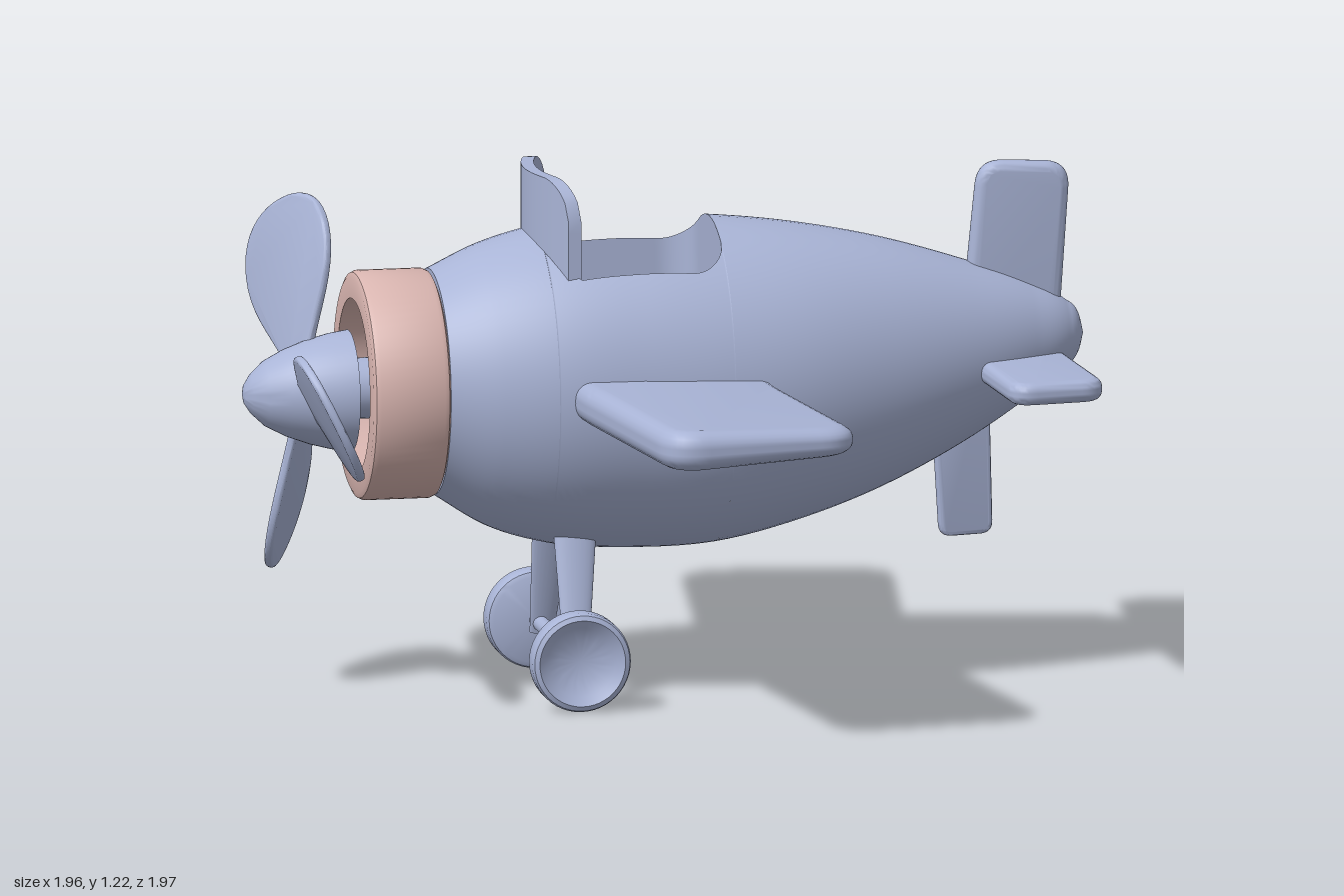
import * as THREE from 'three';
import { toCreasedNormals } from 'three/addons/utils/BufferGeometryUtils.js';
import { ParametricGeometry } from 'three/addons/geometries/ParametricGeometry.js';

const BLUE = new THREE.MeshStandardMaterial({ color: 0xa9b4d6 });
const BLUE_OPEN = new THREE.MeshStandardMaterial({ color: 0xa9b4d6, side: THREE.DoubleSide });
const PINK = new THREE.MeshStandardMaterial({ color: 0xd9b5b0 });

// Fuselage stations: x, top, bottom, half width
const STATIONS = [
  [-0.54, 0.99, 0.47, 0.25], [-0.42, 1.045, 0.395, 0.295], [-0.28, 1.082, 0.35, 0.325],
  [-0.085, 1.1, 0.332, 0.333], [0.11, 1.092, 0.338, 0.328], [0.3, 1.07, 0.38, 0.303],
  [0.5, 1.03, 0.45, 0.25], [0.7, 0.97, 0.55, 0.18], [0.85, 0.915, 0.645, 0.115],
  [0.94, 0.868, 0.71, 0.065], [0.97, 0.835, 0.75, 0.032], [0.98, 0.795, 0.785, 0.005],
];
const profile = new THREE.CubicInterpolant(
  STATIONS.map((s) => s[0]), STATIONS.flatMap((s) => s.slice(1)), 3);

function section(x) {
  const [top, bottom, hw] = profile.evaluate(x);
  return { cy: (top + bottom) / 2, ry: (top - bottom) / 2, hw };
}

// Cockpit opening: curved front edge, straight sides, rounded rear corners
const X0 = -0.3, X1 = 0.11, HALF = 0.22, BEND = 1.36, FLOOR = 0.87;
const cockpitX = (u) => X0 + (X1 - X0) * (0.3 * u + 0.35 * (1 - Math.cos(Math.PI * u)));
function openingHalfWidth(x) {
  const r = 0.08, e = Math.max(0, x - (X1 - r));
  const rear = HALF - r + Math.sqrt(Math.max(0, r * r - e * e));
  return Math.min(rear, Math.sqrt(Math.max(0, x - X0) / BEND));
}

function add(parent, name, geometry, material = BLUE) {
  const mesh = new THREE.Mesh(geometry, material);
  mesh.name = name;
  parent.add(mesh);
  return mesh;
}

// Fuselage skin between stations, left open along the top by halfOpen(x)
function skin(toX, slices, halfOpen = () => 0) {
  return new ParametricGeometry((u, v, target) => {
    const x = toX(u), { cy, ry, hw } = section(x);
    const a0 = Math.asin(halfOpen(x) / hw);
    const a = a0 + v * 2 * (Math.PI - a0);
    target.set(x, cy + ry * Math.cos(a), -hw * Math.sin(a));
  }, slices, 72);
}

// Lathe with profile points [radius, height]
function lathe(points, segments = 48) {
  const g = new THREE.LatheGeometry(points.map((p) => new THREE.Vector2(...p)), segments);
  return toCreasedNormals(g, 0.6);
}

// Rounded-corner polygon
function roundedShape(points, radius) {
  const pts = points.map((p) => new THREE.Vector2(...p)), shape = new THREE.Shape();
  pts.forEach((p, i) => {
    const toward = (q) => p.clone().add(
      q.clone().sub(p).setLength(Math.min(radius, q.distanceTo(p) * 0.45)));
    const a = toward(pts[(i + pts.length - 1) % pts.length]);
    const b = toward(pts[(i + 1) % pts.length]);
    if (i) shape.lineTo(a.x, a.y); else shape.moveTo(a.x, a.y);
    shape.quadraticCurveTo(p.x, p.y, b.x, b.y);
  });
  shape.closePath();
  return shape;
}

// Flat slab with soft edges, centred on its own plane, thinner toward +x by taper
function slab(shape, thickness, taper = 0) {
  const bevel = thickness * 0.42;
  const g = new THREE.ExtrudeGeometry(shape, {
    depth: thickness - 2 * bevel, bevelThickness: bevel, bevelSize: bevel,
    bevelOffset: -bevel, bevelSegments: 5, curveSegments: 10,
  });
  g.translate(0, 0, bevel - thickness / 2);
  const p = g.attributes.position;
  for (let i = 0; i < p.count; i++) {
    p.setZ(i, p.getZ(i) * Math.min(1, 1 - taper * (p.getX(i) + 0.1)));
  }
  return toCreasedNormals(g, 0.7);
}

function buildFuselage(plane) {
  add(plane, 'noseSkin', skin((u) => -0.54 + u * (X0 + 0.54), 12));
  add(plane, 'cockpitSkin', skin(cockpitX, 40, openingHalfWidth));
  add(plane, 'tailSkin', skin((u) => X1 + (0.98 - X1) * Math.sin(u * Math.PI / 2), 40));
  const s = section(-0.54);
  const bulkhead = add(plane, 'noseBulkhead', new THREE.CircleGeometry(1, 72));
  bulkhead.scale.set(s.hw, s.ry, 1);
  bulkhead.rotation.y = -Math.PI / 2;
  bulkhead.position.set(-0.54, s.cy, 0);

  // Cockpit well: walls follow the opening down to a flat floor
  const side = Array.from({ length: 41 }, (_, i) => {
    const x = cockpitX(i / 40);
    return [x, openingHalfWidth(x)];
  });
  const endHalf = side[40][1], outline = [...side];
  for (let i = 1; i < 12; i++) outline.push([X1, endHalf * (1 - i / 6)]);
  side.slice(1).reverse().forEach(([x, z]) => outline.push([x, -z]));
  const n = outline.length;
  const walls = new ParametricGeometry((u, v, target) => {
    const [x, z] = outline[Math.round(u * n) % n], { cy, ry, hw } = section(x);
    const rim = cy + ry * Math.sqrt(1 - (z / hw) ** 2);
    target.set(x, rim + (FLOOR - rim) * v, z);
  }, n, 1);
  add(plane, 'cockpitWalls', toCreasedNormals(walls, 0.6), BLUE_OPEN);
  const floor = add(plane, 'cockpitFloor', new THREE.ShapeGeometry(
    new THREE.Shape(outline.map((p) => new THREE.Vector2(...p)))), BLUE_OPEN);
  floor.rotation.x = Math.PI / 2;
  floor.position.y = FLOOR;

  // Windshield: thin panel with rounded top corners, bowed forward
  const g = new THREE.BoxGeometry(0.03, 1, 0.43, 1, 8, 40), p = g.attributes.position;
  const c = 0.09;
  for (let i = 0; i < p.count; i++) {
    const z = p.getZ(i), e = Math.max(0, Math.abs(z) - (0.215 - c));
    const top = 1.22 - c + Math.sqrt(Math.max(0, c * c - e * e));
    p.setX(i, p.getX(i) - 0.308 + BEND * z * z);
    p.setY(i, 0.9 + (p.getY(i) + 0.5) * (top - 0.9));
  }
  add(plane, 'windshield', toCreasedNormals(g, 0.7));
}

function buildNose(plane) {
  const cowl = add(plane, 'cowling', lathe([
    [0.2, 0], [0.248, 0], [0.259, 0.005], [0.264, 0.016], [0.264, 0.164], [0.259, 0.175],
    [0.248, 0.18], [0.2, 0.18], [0.2, 0]], 72), PINK);
  cowl.position.set(-0.72, 0.727, 0);
  const shaft = add(plane, 'propellerShaft', new THREE.CylinderGeometry(0.07, 0.07, 0.24, 32));
  shaft.position.set(-0.64, 0.72, 0);
  const spinner = add(plane, 'spinner', lathe([
    [0, 0], [0.022, 0.005], [0.045, 0.02], [0.075, 0.052], [0.1, 0.1], [0.12, 0.155],
    [0.133, 0.205], [0.14, 0.25], [0, 0.25]]));
  spinner.position.set(-0.98, 0.715, 0);
  [cowl, shaft, spinner].forEach((m) => { m.rotation.z = -Math.PI / 2; });

  // Three pitched paddle blades
  const outline = new THREE.Shape();
  outline.moveTo(-0.035, 0.05);
  outline.bezierCurveTo(-0.06, 0.14, -0.16, 0.22, -0.16, 0.33);
  outline.bezierCurveTo(-0.16, 0.43, -0.09, 0.472, 0, 0.472);
  outline.bezierCurveTo(0.09, 0.472, 0.16, 0.43, 0.16, 0.33);
  outline.bezierCurveTo(0.16, 0.22, 0.06, 0.14, 0.035, 0.05);
  const chord = new THREE.Vector3(-0.435, 0.9, 0).normalize();
  const span = new THREE.Vector3(0, 0, 1);
  const blade = slab(outline, 0.02).applyMatrix4(
    new THREE.Matrix4().makeBasis(chord, span, chord.clone().cross(span)));
  for (let i = 0; i < 3; i++) {
    const m = add(plane, 'propellerBlade', blade);
    m.position.set(-0.84, 0.715, 0);
    m.rotation.x = i * Math.PI * 2 / 3;
  }
}

function buildWingsAndTail(plane) {
  const wing = add(plane, 'mainWing', slab(roundedShape([
    [-0.175, -1], [0.29, -0.93], [0.2, -0.33], [0.2, 0.33], [0.29, 0.93], [-0.175, 1],
    [-0.268, 0.33], [-0.268, -0.33]], 0.1), 0.092, 0.9));
  wing.position.y = 0.73;
  const tail = add(plane, 'tailplane', slab(roundedShape([
    [0.73, -0.46], [0.955, -0.43], [0.925, 0], [0.955, 0.43], [0.73, 0.46], [0.7, 0]],
  0.06), 0.052));
  tail.position.y = 0.733;
  wing.rotation.x = tail.rotation.x = Math.PI / 2;
  add(plane, 'tailFin', slab(roundedShape([
    [0.69, 0.75], [0.92, 0.75], [0.95, 1.19], [0.735, 1.2]], 0.06), 0.052));
  add(plane, 'lowerFin', slab(roundedShape([
    [0.645, 0.325], [0.77, 0.33], [0.76, 0.75], [0.62, 0.75]], 0.03), 0.024));
}

function buildLandingGear(plane) {
  const gear = new THREE.Group();
  gear.name = 'landingGear';
  gear.position.set(-0.245, 0.118, 0);
  const axle = add(gear, 'axle', new THREE.CylinderGeometry(0.018, 0.018, 0.52, 20));
  axle.rotation.x = Math.PI / 2;
  const wheelGeo = lathe([
    [0, 0], [0.1, 0], [0.111, 0.005], [0.115, 0.016], [0.115, 0.054], [0.111, 0.065],
    [0.1, 0.07], [0.08, 0.056], [0.05, 0.043], [0, 0.036]]);
  const strutGeo = new THREE.CylinderGeometry(0.055, 0.028, 0.38, 24).scale(1, 1, 0.36);
  for (const s of [1, -1]) {
    const wheel = add(gear, 'wheel', wheelGeo);
    wheel.position.z = s * 0.24;
    wheel.rotation.x = s * Math.PI / 2;
    const strut = add(gear, 'strut', strutGeo);
    strut.position.set(0.012, 0.16, s * 0.158);
    strut.rotation.set(-s * 0.275, 0, -0.04);
  }
  plane.add(gear);
}

export function createModel() {
  const plane = new THREE.Group();
  plane.name = 'toyPlane';
  buildFuselage(plane);
  buildNose(plane);
  buildWingsAndTail(plane);
  buildLandingGear(plane);
  return plane;
}
